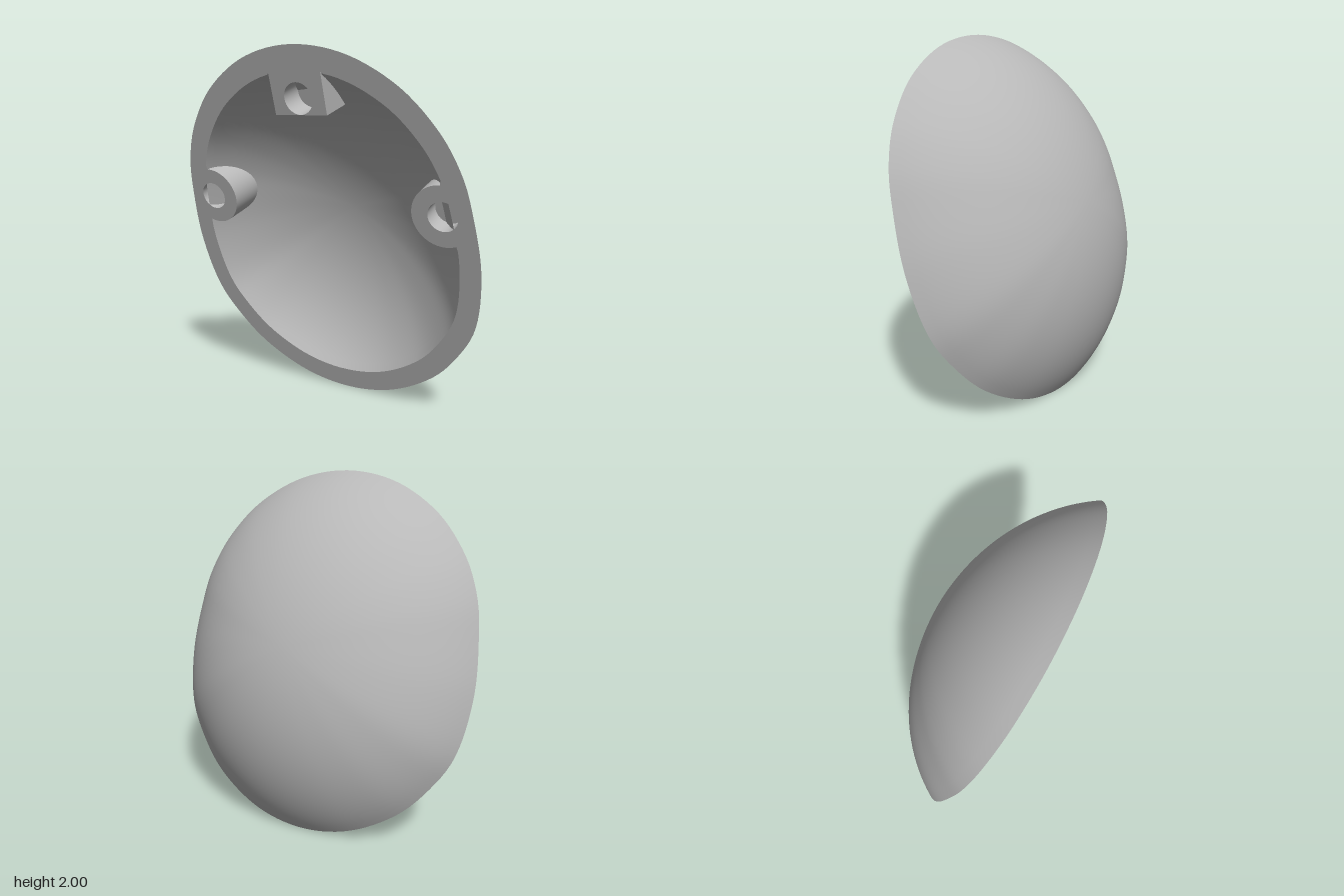
import * as THREE from 'three';
import { mergeVertices } from 'three/addons/utils/BufferGeometryUtils.js';

const TILT = Math.atan(0.3);   // lean of the rim plane
const N = 128;                 // points round the rim
const INNER = 0.876;           // cavity outline relative to the rim outline

// Half outline of the rim, from bottom to top, mirrored into a closed curve
const half = [[0.3, 0.05], [0.575, 0.2], [0.76, 0.4], [0.865, 0.6], [0.908, 0.9],
  [0.885, 1.2], [0.842, 1.4], [0.743, 1.6], [0.562, 1.8], [0.3, 1.948]];
const toPlane = ([x, y]) => new THREE.Vector3(x, (y - 1) / Math.cos(TILT), 0);
const outline = new THREE.CatmullRomCurve3([
  toPlane([0, 0]), ...half.map(toPlane), toPlane([0, 2]),
  ...half.map(([x, y]) => toPlane([-x, y])).reverse(),
], true, 'catmullrom', 0.5).getSpacedPoints(N);

// Bulge of the shell: 1 at the centre, 0 at the rim
const K = Math.sqrt(1.15 ** 2 - 1);
const bulge = (r) => (Math.sqrt(Math.max(1.15 ** 2 - r * r, 0)) - K) / (1.15 - K);

// Distance of a point from the centre, where the rim is 1
function rho(x, y) {
  const len = Math.hypot(x, y);
  let best = -Infinity, size = 1;
  for (const p of outline) {
    const l = Math.hypot(p.x, p.y), d = (p.x * x + p.y * y) / l;
    if (d > best) { best = d; size = l; }
  }
  return len / size;
}
const cavityDepth = (x, y) => 0.38 * bulge(Math.min(rho(x, y) / INNER, 1));

// Domed skin over the outline, opening forward or facing backward
function dome(scale, depth, backward) {
  const rings = 28;
  const geo = new THREE.RingGeometry(0, 1, N, rings);
  const pos = geo.attributes.position;
  for (let i = 0; i < pos.count; i++) {
    const r = Math.floor(i / (N + 1)) / rings, p = outline[i % (N + 1)];
    pos.setXYZ(i, p.x * r * scale, p.y * r * scale, -depth * bulge(r));
  }
  geo.deleteAttribute('normal');
  geo.deleteAttribute('uv');
  if (backward) geo.index.array.reverse();
  const merged = mergeVertices(geo, 1e-5);
  merged.computeVertexNormals();
  return merged;
}

// Wall running from the rim plane down into the cavity surface
function wall(points, flat) {
  const verts = [], index = [];
  points.forEach(([x, y], i) => {
    verts.push(x, y, 0, x, y, -cavityDepth(x, y) - 0.02);
    if (i) { const a = 2 * i - 2; index.push(a, a + 1, a + 2, a + 2, a + 1, a + 3); }
  });
  let geo = new THREE.BufferGeometry();
  geo.setAttribute('position', new THREE.Float32BufferAttribute(verts, 3));
  geo.setIndex(index);
  if (flat) geo = geo.toNonIndexed();
  geo.computeVertexNormals();
  return geo;
}

export function createModel() {
  const grey = new THREE.MeshStandardMaterial({ color: 0xb8b8b8, side: THREE.DoubleSide });
  grey.name = 'grey plastic';
  const body = new THREE.Group();
  body.name = 'shell';
  const add = (name, geo, parent = body) => {
    const mesh = new THREE.Mesh(geo, grey);
    mesh.name = name;
    parent.add(mesh);
    return mesh;
  };

  add('outerSkin', dome(1, 0.48, true));
  add('innerSkin', dome(INNER, 0.38, false));

  // Outlines of the block boss at the top and the round boss at the side
  const W = 0.157, LOW = 0.684, HIGH = 0.903;
  const blockSide = [0, 0.25, 0.5, 0.75, 1].map((t) => [W, LOW + (HIGH - LOW) * t]);
  const boss = { x: 0.73, y: 0.178, r: 0.168 };
  const arc = [];
  for (let a = 10; a <= 350; a += 5) {
    const t = THREE.MathUtils.degToRad(a);
    const p = [boss.x + boss.r * Math.cos(t), boss.y + boss.r * Math.sin(t)];
    if (rho(...p) < INNER) arc.push(p);
  }

  // Cavity opening: right half from top to bottom, then mirrored
  const side = [...blockSide];
  let arcDone = false;
  const inner = outline.slice(0, N / 2 + 1).reverse().map((p) => [p.x * INNER, p.y * INNER]);
  for (const [x, y] of inner) {
    if ((y > 0 && x < W + 0.005) || x < 1e-4) continue;
    if (Math.hypot(x - boss.x, y - boss.y) < boss.r) {
      if (!arcDone) side.push(...arc);
      arcDone = true;
    } else side.push([x, y]);
  }
  const mirror = (pts) => pts.map(([x, y]) => [-x, y]).reverse();
  const vec = (pts) => pts.map(([x, y]) => new THREE.Vector2(x, y));

  // Flat rim with the cavity and the three screw holes cut out
  const holes = [
    { name: 'topHole', x: 0, y: 0.77, r: 0.085, depth: 0.13 },
    { name: 'leftHole', x: 0.73, y: 0.178, r: 0.081, depth: 0.1 },
    { name: 'rightHole', x: -0.73, y: 0.178, r: 0.081, depth: 0.1 },
  ];
  const rim = new THREE.Shape(outline.slice(0, N).map((p) => new THREE.Vector2(p.x, p.y)));
  rim.holes.push(new THREE.Path(vec([...side, ...mirror(side)])));
  for (const h of holes) {
    rim.holes.push(new THREE.Path().absarc(h.x, h.y, h.r, 0, Math.PI * 2, true));
  }
  add('rim', new THREE.ShapeGeometry(rim, 20));

  // Boss walls
  add('topBoss', wall([...mirror(blockSide), ...blockSide], true));
  add('leftBoss', wall(arc));
  add('rightBoss', wall(mirror(arc)));

  // Blind holes
  for (const h of holes) {
    const hole = new THREE.Group();
    hole.name = h.name;
    hole.position.set(h.x, h.y, 0);
    const bore = new THREE.CylinderGeometry(h.r, h.r, h.depth, 40, 1, true);
    bore.rotateX(Math.PI / 2).translate(0, 0, -h.depth / 2);
    add('bore', bore, hole);
    add('holeFloor', new THREE.CircleGeometry(h.r, 40).translate(0, 0, -h.depth), hole);
    body.add(hole);
  }

  body.rotation.x = TILT;
  body.position.set(0, 1, 0.11);
  const model = new THREE.Group();
  model.name = 'hollowShell';
  model.add(body);
  return model;
}
